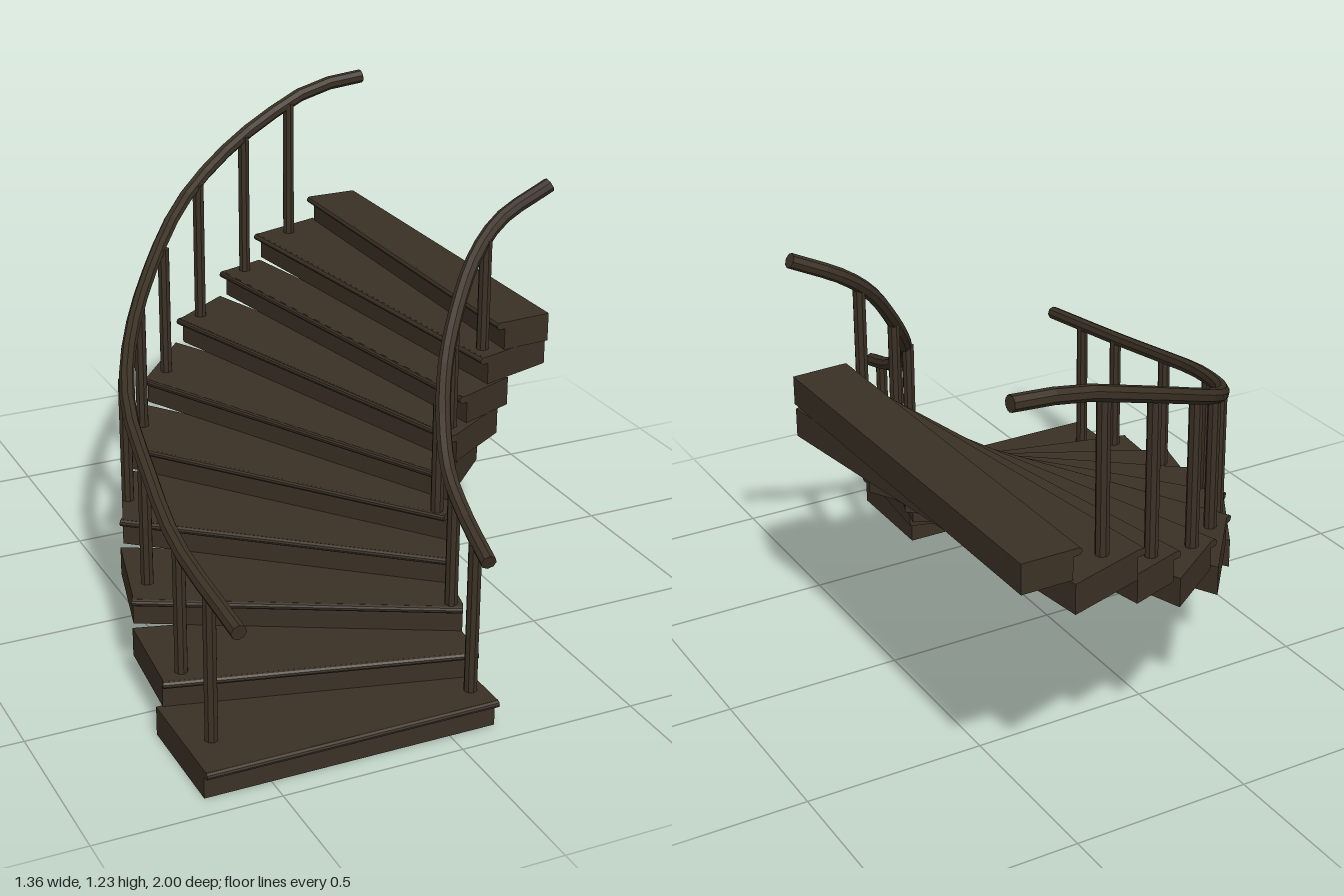
import * as THREE from 'three';

const RISE = 0.0817; // height of one step
const NOSE = 0.01;   // nosing radius
const wood = new THREE.MeshStandardMaterial({ color: 0x3b3125, flatShading: true, side: THREE.DoubleSide });

// Plan of each step as [x, z]: front outer, front inner, back inner, back outer
const STEPS = [
  [[-0.68, 0.955], [0.13, 0.955], [0.13, 0.61], [-0.68, 0.61]],
  [[-0.67, 0.64], [0.13, 0.84], [0.16, 0.56], [-0.64, 0.34]],
  [[-0.64, 0.34], [0.135, 0.74], [0.21, 0.44], [-0.56, 0.04]],
  [[-0.56, 0.04], [0.15, 0.62], [0.27, 0.37], [-0.44, -0.27]],
  [[-0.44, -0.26], [0.185, 0.53], [0.33, 0.3], [-0.28, -0.51]],
  [[-0.28, -0.51], [0.22, 0.46], [0.44, 0.25], [-0.08, -0.74]],
  [[-0.08, -0.73], [0.27, 0.4], [0.49, 0.27], [0.12, -0.86]],
  [[0.12, -0.86], [0.33, 0.34], [0.52, 0.27], [0.28, -0.91]],
  [[0.27, -0.93], [0.42, 0.29], [0.665, 0.22], [0.51, -1.0]],
  [[0.48, -0.98], [0.485, 0.26], [0.655, 0.25], [0.645, -0.98]],
];

// Rail centre lines [x, y, z]
const OUTER_RAIL = [
  [-0.61, 0.48, 0.995], [-0.61, 0.53, 0.6], [-0.57, 0.595, 0.3], [-0.52, 0.66, 0.03],
  [-0.42, 0.735, -0.22], [-0.27, 0.835, -0.46], [-0.07, 0.96, -0.69], [0.13, 1.06, -0.82],
  [0.3, 1.13, -0.89], [0.48, 1.19, -0.935], [0.65, 1.208, -0.945],
];
const INNER_RAIL = [
  [0.09, 0.485, 0.94], [0.11, 0.535, 0.78], [0.13, 0.6, 0.65], [0.18, 0.7, 0.52], [0.25, 0.8, 0.4],
  [0.33, 0.91, 0.31], [0.42, 1.02, 0.24], [0.52, 1.1, 0.2], [0.67, 1.175, 0.197],
];

// Balusters [x, z, number of the step they stand on]
const OUTER_POSTS = [
  [-0.61, 0.81, 1], [-0.605, 0.6, 2], [-0.565, 0.26, 3], [-0.49, -0.08, 4], [-0.335, -0.365, 5],
  [-0.19, -0.54, 6], [0.0, -0.73, 7], [0.2, -0.845, 8], [0.38, -0.905, 9],
];
const INNER_POSTS = [[0.09, 0.87, 1], [0.12, 0.7, 3], [0.185, 0.49, 5], [0.305, 0.335, 7], [0.46, 0.225, 9]];

function add(parent, geometry, name) {
  const mesh = new THREE.Mesh(geometry, wood);
  mesh.name = name;
  parent.add(mesh);
  return mesh;
}

// Flat slab with a plan outline, from y to y + height
function slab(points, y, height) {
  const shape = new THREE.Shape(points.map(([x, z]) => new THREE.Vector2(x, -z)));
  return new THREE.ExtrudeGeometry(shape, { depth: height, bevelEnabled: false })
    .rotateX(-Math.PI / 2).translate(0, y, 0);
}

// Round bar between two points
function bar(a, b, radius, sides) {
  const dir = b.clone().sub(a);
  const turn = new THREE.Quaternion().setFromUnitVectors(new THREE.Vector3(0, 1, 0), dir.clone().normalize());
  const mid = a.clone().add(b).multiplyScalar(0.5);
  return new THREE.CylinderGeometry(radius, radius, dir.length(), sides)
    .applyQuaternion(turn).translate(mid.x, mid.y, mid.z);
}

// Solid step with a half-round nosing along its front edge
function makeStep([fo, fi, bi, bo], index) {
  const step = new THREE.Group();
  step.name = `step${index + 1}`;
  const y = index * RISE, top = y + RISE;
  const len = Math.hypot(fi[0] - fo[0], fi[1] - fo[1]);
  const back = [(fi[1] - fo[1]) / len, -(fi[0] - fo[0]) / len];
  const inset = (p, d) => [p[0] + back[0] * d, p[1] + back[1] * d];
  add(step, slab([inset(fo, 0.025), inset(fi, 0.025), bi, bo], y, RISE), 'stepBody');
  add(step, slab([inset(fo, NOSE), inset(fi, NOSE), inset(fi, 0.025), inset(fo, 0.025)],
    top - 2 * NOSE, 2 * NOSE), 'treadLip');
  const [a, b] = [fo, fi].map((p) => {
    const q = inset(p, NOSE);
    return new THREE.Vector3(q[0], top - NOSE, q[1]);
  });
  add(step, bar(a, b, NOSE, 10), 'nosing');
  return step;
}

// Handrail with closed ends, and the balusters that meet it from below
function makeBalustrade(points, posts, name) {
  const group = new THREE.Group();
  group.name = name;
  const curve = new THREE.CatmullRomCurve3(points.map((p) => new THREE.Vector3(...p)));
  add(group, new THREE.TubeGeometry(curve, 24, 0.021, 8), 'handrail');
  for (const t of [0, 1]) {
    const cap = add(group, new THREE.CircleGeometry(0.021, 8), 'handrailEnd');
    cap.position.copy(curve.getPointAt(t));
    cap.lookAt(cap.position.clone().addScaledVector(curve.getTangentAt(t), t ? 1 : -1));
  }
  const samples = curve.getSpacedPoints(300);
  for (const [x, z, n] of posts) {
    const dist = (p) => Math.hypot(p.x - x, p.z - z);
    const top = samples.reduce((m, p) => (dist(p) < dist(m) ? p : m));
    add(group, bar(new THREE.Vector3(x, n * RISE - 0.01, z), new THREE.Vector3(x, top.y, z), 0.018, 8), 'baluster');
  }
  return group;
}

export function createModel() {
  const model = new THREE.Group();
  model.name = 'curvedStaircase';
  STEPS.forEach((plan, i) => model.add(makeStep(plan, i)));
  model.add(makeBalustrade(OUTER_RAIL, OUTER_POSTS, 'outerBalustrade'));
  model.add(makeBalustrade(INNER_RAIL, INNER_POSTS, 'innerBalustrade'));
  return model;
}
